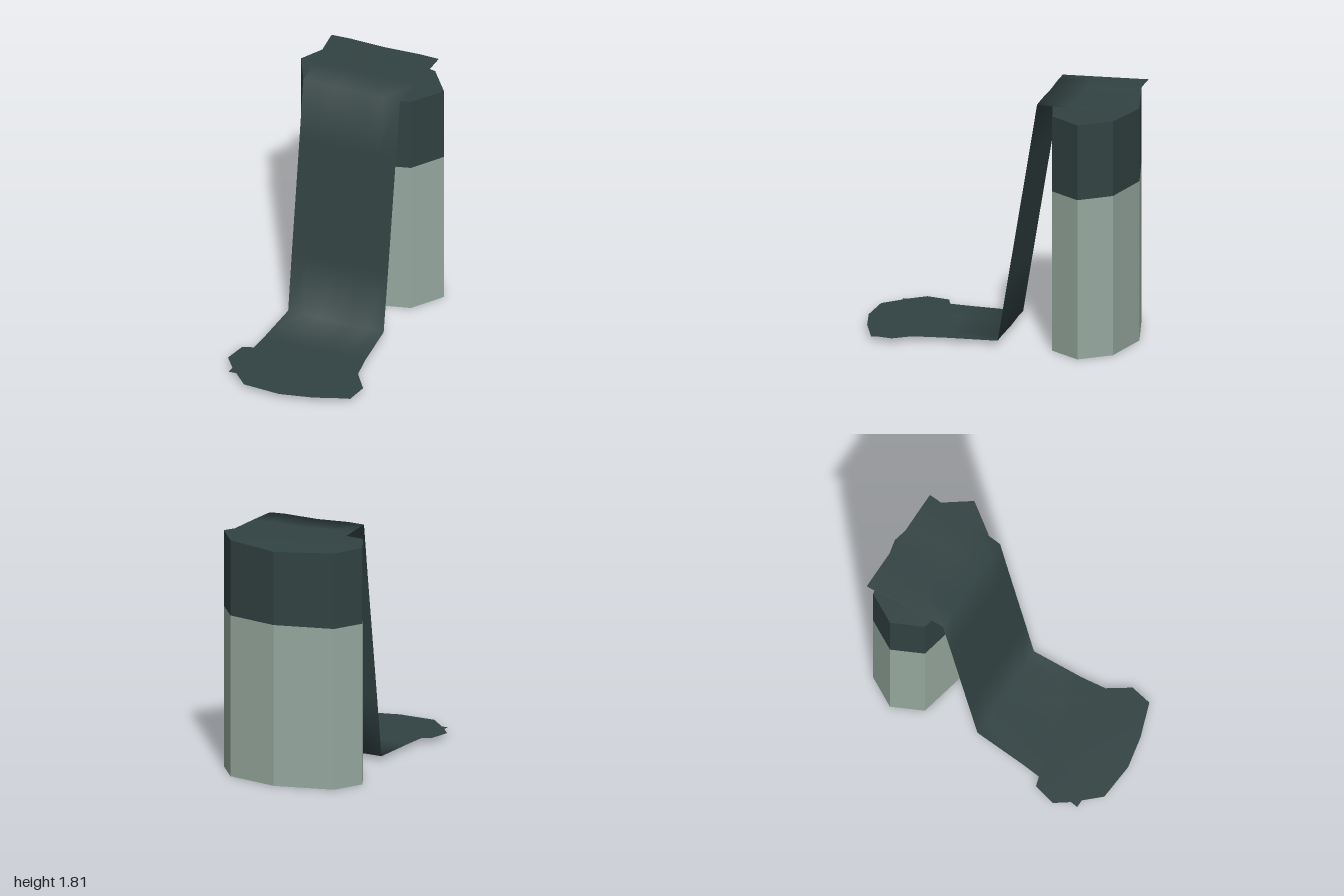
import * as THREE from 'three';

const dark = new THREE.MeshStandardMaterial({ color: 0x324242 });
dark.name = 'darkSlate';
dark.side = THREE.DoubleSide;
const darkFlat = dark.clone();
darkFlat.name = 'darkSlate';
darkFlat.flatShading = true;
const pale = new THREE.MeshStandardMaterial({ color: 0x96a89e });
pale.name = 'paleGreyGreen';
pale.side = THREE.DoubleSide;
pale.flatShading = true;

// Indexed geometry with averaged normals
function makeGeometry(points, index) {
  const g = new THREE.BufferGeometry();
  g.setAttribute('position', new THREE.Float32BufferAttribute(points.flat(), 3));
  g.setIndex(index);
  g.computeVertexNormals();
  return g;
}

// Walls joining two rings of equal length
function walls(lower, upper) {
  const n = lower.length, index = [];
  for (let i = 0; i < n; i++) {
    const j = (i + 1) % n;
    index.push(i, j, n + j, i, n + j, n + i);
  }
  return makeGeometry([...lower, ...upper], index);
}

// Disc fanned out from a centre point
function fan(centre, ring) {
  const n = ring.length, index = [];
  for (let i = 0; i < n; i++) index.push(0, i + 1, (i + 1) % n + 1);
  return makeGeometry([centre, ...ring], index);
}

// Strip lofted through rows of [left x, right x, y, z]
function strip(rows, columns) {
  const points = [], index = [];
  rows.forEach(([x0, x1, y, z], r) => {
    for (let c = 0; c <= columns; c++) {
      const t = c / columns;
      points.push([x0 + (x1 - x0) * t, y + 0.004 * Math.sin(t * Math.PI * 3), z]);
      if (r < rows.length - 1 && c < columns) {
        const a = r * (columns + 1) + c, b = a + columns + 1;
        index.push(a, b, a + 1, a + 1, b, b + 1);
      }
    }
  });
  return makeGeometry(points, index);
}

export function createModel() {
  const model = new THREE.Group();
  const add = (name, geometry, material) => {
    const mesh = new THREE.Mesh(geometry, material);
    mesh.name = name;
    model.add(mesh);
  };

  // Eight-sided pillar, open underneath: [x, z, top y]
  const plan = [
    [0, -0.365, 1.73], [0.39, -0.46, 1.745], [0.55, -0.685, 1.74], [0.39, -0.905, 1.74],
    [0, -1, 1.725], [-0.43, -0.905, 1.74], [-0.55, -0.685, 1.745], [-0.44, -0.46, 1.74],
  ];
  const level = (y) => plan.map(([x, z]) => [x, y, z]);
  const rim = plan.map(([x, z, y]) => [x, y, z]);
  add('pillarBase', walls(level(0), level(1.185)), pale);
  add('pillarBand', walls(level(1.185), rim), darkFlat);
  add('pillarTop', fan([0, 1.745, -0.685], rim), darkFlat);

  // Thin sheet running over the top, down the front and along the ground
  add('fallingSheet', strip([
    [-0.43, 0.395, 1.81, -0.96],
    [-0.405, 0.375, 1.81, -0.58],
    [-0.39, 0.355, 1.81, -0.34],
    [-0.388, 0.353, 1.36, -0.267],
    [-0.387, 0.352, 0.48, -0.123],
    [-0.385, 0.35, 0.03, -0.05],
    [-0.41, 0.37, 0.03, 0.34],
    [-0.43, 0.395, 0.03, 0.55],
    [-0.47, 0.47, 0.03, 0.85],
  ], 6), dark);

  // Irregular flat pool at the foot
  const poolPlan = [
    [-0.02, 0.99], [0.22, 0.94], [0.47, 0.85], [0.5, 0.69], [0.4, 0.54], [0.1, 0.39],
    [-0.02, 0.38], [-0.27, 0.45], [-0.5, 0.52], [-0.54, 0.69], [-0.46, 0.8], [-0.3, 0.97],
  ];
  add('pool', fan([-0.02, 0.038, 0.69], poolPlan.map(([x, z]) => [x, 0.036, z])), dark);

  // Small ripple lying on the pool
  const ripple = [
    [-0.02, 0.84], [0.2, 0.8], [0.25, 0.68], [0.18, 0.58],
    [0.03, 0.53], [-0.08, 0.54], [-0.26, 0.6], [-0.28, 0.66], [-0.2, 0.79],
  ];
  add('poolRipple', fan([-0.02, 0.042, 0.68], ripple.map(([x, z]) => [x, 0.041, z])), dark);

  return model;
}
